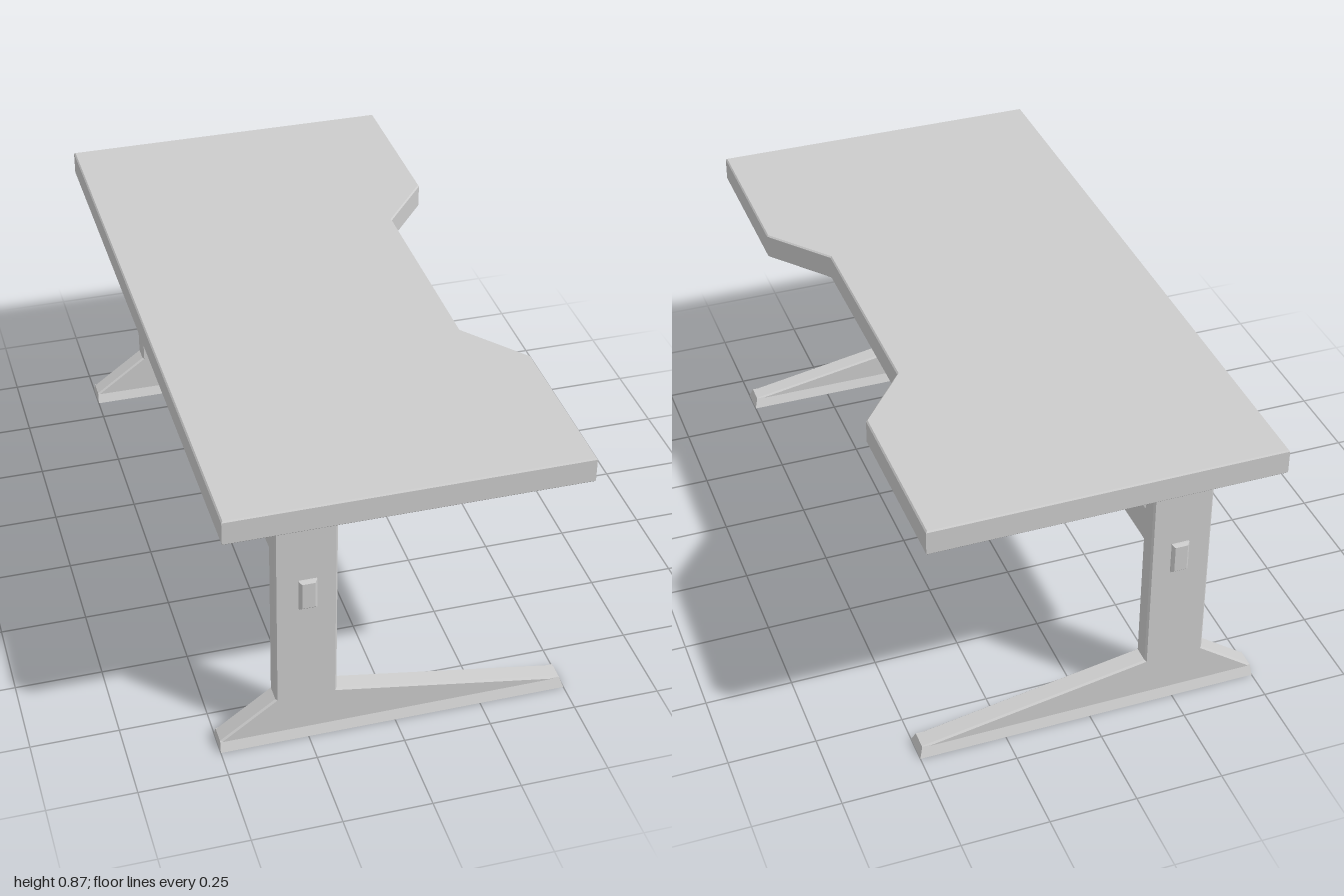
import * as THREE from 'three';

const material = new THREE.MeshStandardMaterial({ color: 0xcccccc, flatShading: true });

function outline(points) {
  return new THREE.Shape(points.map(([x, y]) => new THREE.Vector2(x, y)));
}

// Extrusion centred on z = 0 whose chamfer stays inside the outline and depth
function slab(points, depth, bevel) {
  const geo = new THREE.ExtrudeGeometry(outline(points), {
    depth: depth - 2 * bevel,
    bevelEnabled: bevel > 0,
    bevelThickness: bevel,
    bevelSize: bevel,
    bevelOffset: -bevel,
    bevelSegments: 1,
  });
  return geo.translate(0, 0, -depth / 2 + bevel);
}

function mesh(name, geo) {
  const m = new THREE.Mesh(geo, material);
  m.name = name;
  return m;
}

// T-shaped side support with its post set towards the back
function createLeg(side) {
  const leg = new THREE.Group();
  leg.name = side > 0 ? 'frontLeg' : 'backLeg';

  const post = slab([
    [-0.498, 0.002], [0.496, 0.002], [0.49, 0.03], [-0.167, 0.145],
    [-0.167, 0.795], [-0.34, 0.795], [-0.34, 0.145], [-0.498, 0.03],
  ], 0.058, 0.005);
  leg.add(mesh('postAndFoot', post));

  // Flared sole, wider at the floor and raked at the toe
  const sole = slab([[-0.041, 0], [0.041, 0], [0.028, 0.03], [-0.028, 0.03]], 1, 0);
  sole.rotateY(Math.PI / 2);
  const p = sole.attributes.position;
  for (let i = 0; i < p.count; i++) {
    if (p.getY(i) > 0.02) p.setX(i, p.getX(i) > 0 ? 0.49 : -0.498);
  }
  sole.computeVertexNormals();
  leg.add(mesh('sole', sole));

  // Chamfered end of the stretcher showing through the post
  const tenon = slab([[-0.275, 0.455], [-0.225, 0.455], [-0.225, 0.55], [-0.275, 0.55]], 0.08, 0.007);
  const end = mesh('tenon', tenon);
  end.position.z = side * 0.001;
  leg.add(end);

  leg.position.z = side * 0.872;
  return leg;
}

export function createModel() {
  const desk = new THREE.Group();
  desk.name = 'desk';

  // Top with a tapered cut-out along one long edge
  const top = slab([
    [-0.5, -1], [0.5, -1], [0.5, -0.5], [0.355, -0.32],
    [0.355, 0.32], [0.5, 0.5], [0.5, 1], [-0.5, 1],
  ], 0.075, 0.004);
  top.rotateX(-Math.PI / 2).translate(0, 0.8275, 0);
  desk.add(mesh('tabletop', top));

  for (const side of [1, -1]) desk.add(createLeg(side));

  // Stretcher with chamfered long edges
  const x0 = -0.283, x1 = -0.217, y0 = 0.44, y1 = 0.565, c = 0.01;
  const beam = slab([
    [x0 + c, y0], [x1 - c, y0], [x1, y0 + c], [x1, y1 - c],
    [x1 - c, y1], [x0 + c, y1], [x0, y1 - c], [x0, y0 + c],
  ], 1.7, 0);
  desk.add(mesh('stretcher', beam));

  return desk;
}
